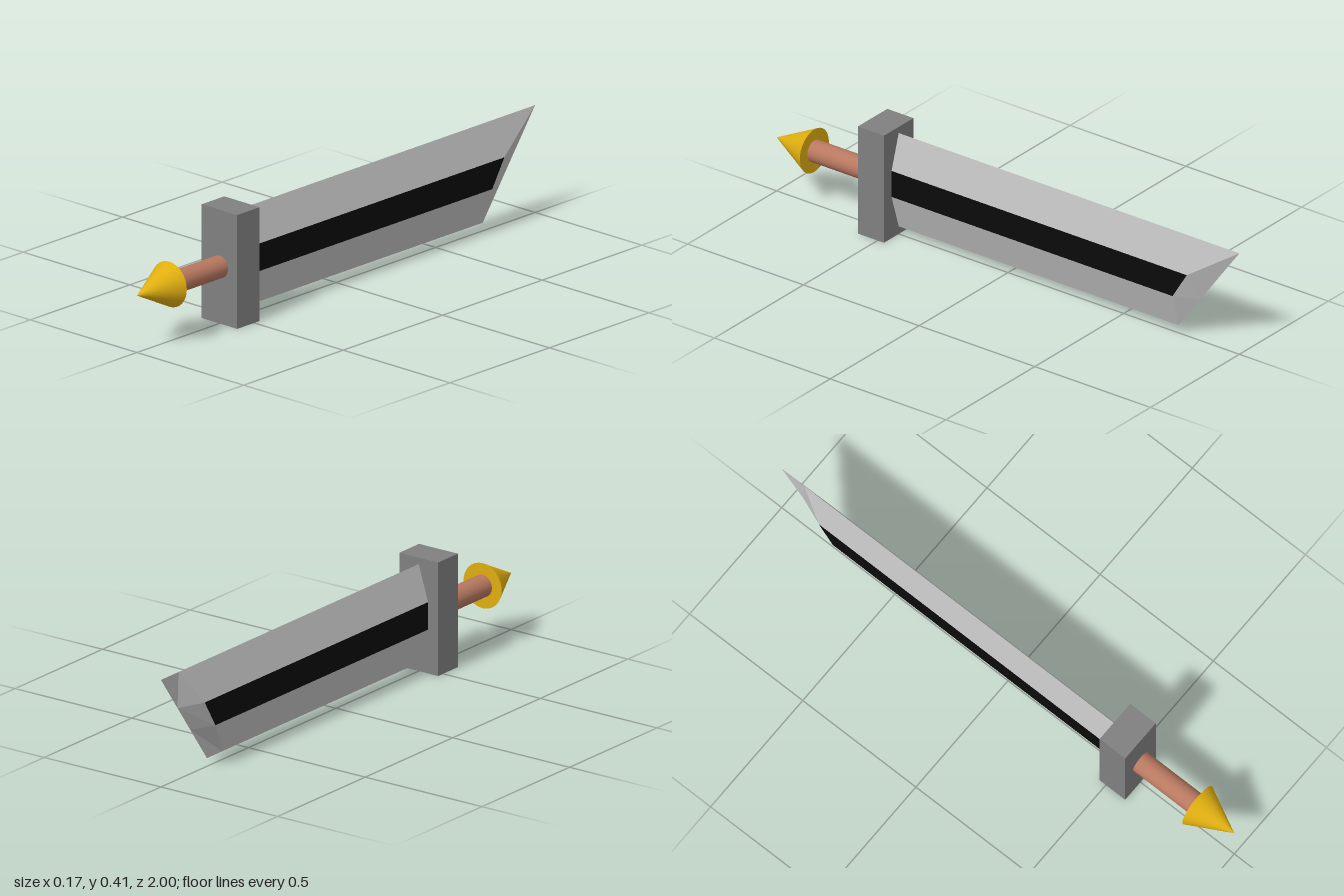
import * as THREE from 'three';

const mat = (name, color) => {
  const m = new THREE.MeshStandardMaterial({ color });
  m.name = name;
  return m;
};

// Flat-shaded geometry from [x, y, z] corner loops (triangles or quads)
function facets(loops) {
  const pos = [];
  for (const loop of loops) {
    for (let i = 1; i < loop.length - 1; i++) pos.push(...loop[0], ...loop[i], ...loop[i + 1]);
  }
  const g = new THREE.BufferGeometry();
  g.setAttribute('position', new THREE.Float32BufferAttribute(pos, 3));
  g.computeVertexNormals();
  return g;
}

export function createModel() {
  const steel = mat('blade silver', 0xc0c0c0);
  const iron = mat('guard grey', 0x808080);
  const black = mat('fuller black', 0x0a0a0a);
  const leather = mat('grip brown', 0xb87860);
  const gold = mat('pommel gold', 0xdfae10);

  const group = new THREE.Group();
  const midY = 0.207;
  const add = (name, geometry, material, z = 0, y = 0) => {
    const mesh = new THREE.Mesh(geometry, material);
    mesh.name = name;
    mesh.position.set(0, y, z);
    group.add(mesh);
    return mesh;
  };

  // Hilt: guard, grip and conical pommel along z
  add('guard', new THREE.BoxGeometry(0.166, 0.413, 0.113), iron, 0.529, midY);
  add('grip', new THREE.CylinderGeometry(0.04, 0.04, 0.27, 32).rotateX(Math.PI / 2), leather, 0.71, midY);
  add('pommel', new THREE.ConeGeometry(0.082, 0.163, 32).rotateX(Math.PI / 2), gold, 0.9185, midY);

  // Blade section heights: spine, band top, band bottom, cutting edge
  const w = 0.04;
  const rows = [[0, 0.39, -0.9], [w, 0.26, -0.803], [w, 0.16, -0.742], [0, 0.03, -0.65]];
  const slantZ = (y) => -1 + (0.39 - y) * (0.263 / 0.36);

  const bladeLoops = [];
  const bandLoops = [];
  for (const side of [1, -1]) {
    const root = rows.map(([x, y]) => [x * side, y, 0.475]);
    const end = rows.map(([x, y, z]) => [x * side, y, z]);
    const edge = rows.map(([, y]) => [0, y, slantZ(y)]);
    const face = (list, ...loop) => list.push(side > 0 ? loop : loop.reverse());

    // Long faces: two bevels with the dark band between them
    for (let i = 0; i < 3; i++) {
      face(i === 1 ? bandLoops : bladeLoops, root[i], root[i + 1], end[i + 1], end[i]);
    }

    // Slanted tip, ground differently on each side
    face(bladeLoops, end[1], end[2], edge[2], edge[1]);
    if (side > 0) {
      face(bladeLoops, end[0], end[1], edge[0]);
      face(bladeLoops, end[1], edge[1], edge[0]);
      face(bladeLoops, end[2], end[3], edge[3]);
      face(bladeLoops, end[2], edge[3], edge[2]);
    } else {
      face(bladeLoops, end[0], end[1], edge[1]);
      face(bladeLoops, end[0], edge[1], edge[0]);
      face(bladeLoops, end[2], end[3], edge[2]);
      face(bladeLoops, end[3], edge[3], edge[2]);
    }
  }
  add('blade', facets(bladeLoops), steel);
  add('bladeBand', facets(bandLoops), black);

  return group;
}
